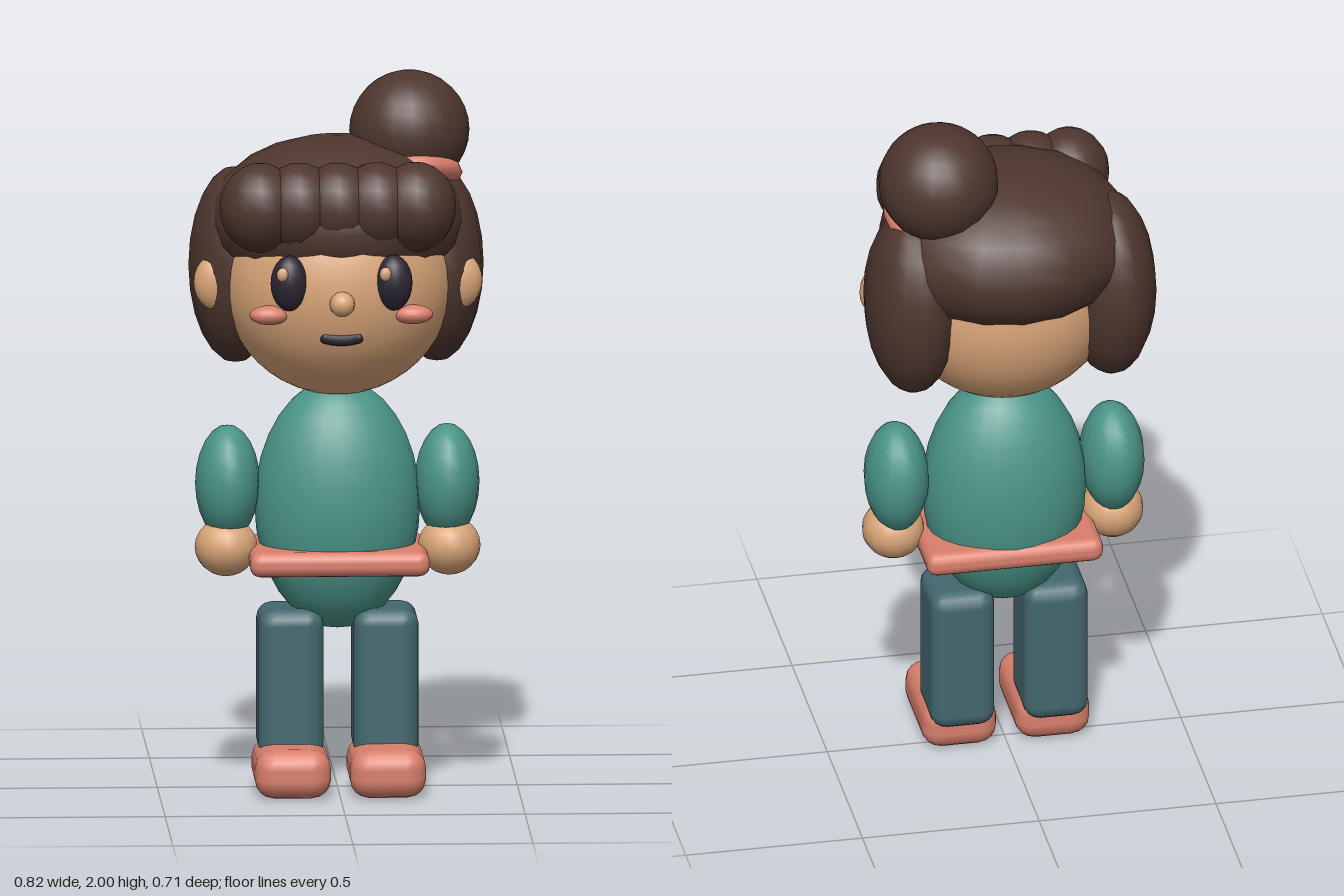
import * as THREE from 'three';
import { RoundedBoxGeometry } from 'three/addons/geometries/RoundedBoxGeometry.js';

function material(name, color) {
  const m = new THREE.MeshStandardMaterial({ color });
  m.name = name;
  return m;
}

export function createModel() {
  const model = new THREE.Group();
  model.name = 'figure';

  const hair = material('dark brown', 0x4e362e);
  const skin = material('skin', 0xd9a578);
  const teal = material('teal', 0x4a9488);
  const denim = material('slate blue', 0x43686f);
  const coral = material('coral', 0xd97f6c);
  const dark = material('eye dark', 0x2b2531);

  function add(name, geometry, mat, pos) {
    const mesh = new THREE.Mesh(geometry, mat);
    mesh.name = name;
    mesh.position.set(...pos);
    model.add(mesh);
    return mesh;
  }
  // Ellipsoid with the given centre and radii
  function ball(name, mat, pos, radii, w = 16, h = 12) {
    const geometry = new THREE.SphereGeometry(1, w, h);
    geometry.scale(...radii);
    return add(name, geometry, mat, pos);
  }
  function block(name, mat, pos, size, radius) {
    return add(name, new RoundedBoxGeometry(...size, 2, radius), mat, pos);
  }

  // Torso and belt
  ball('torso', teal, [0, 0.8, 0], [0.23, 0.35, 0.18], 24, 16);
  block('belt', coral, [0, 0.655, 0.01], [0.5, 0.07, 0.38], 0.03);

  // Head, cap of hair and bun
  ball('head', skin, [0, 1.43, 0.01], [0.32, 0.32, 0.3], 32, 24);
  ball('hairCap', hair, [0, 1.6, -0.025], [0.36, 0.23, 0.33]);
  ball('bun', hair, [0.204, 1.834, -0.092], [0.167, 0.166, 0.167], 20, 16);
  const tie = new THREE.TorusGeometry(0.11, 0.03, 8, 20);
  tie.rotateX(Math.PI / 2 - 0.35);
  add('bunTie', tie, coral, [0.21, 1.72, -0.05]);

  // Fringe
  for (let i = -2; i <= 2; i++) {
    ball('fringe', hair, [i * 0.108 - 0.007, 1.664, 0.198], [0.113, 0.125, 0.113]);
  }

  // Nose and mouth
  ball('nose', skin, [0, 1.41, 0.317], [0.035, 0.035, 0.035]);
  const smile = new THREE.QuadraticBezierCurve3(
    new THREE.Vector3(-0.045, 0.004, -0.006),
    new THREE.Vector3(0, -0.006, 0.008),
    new THREE.Vector3(0.045, 0.004, -0.006)
  );
  add('mouth', new THREE.TubeGeometry(smile, 8, 0.016, 8), dark, [0, 1.305, 0.284]);
  for (const s of [-1, 1]) {
    ball('mouthCorner', dark, [s * 0.045, 1.309, 0.278], [0.016, 0.016, 0.016], 8, 6);
  }

  // Paired parts
  for (const s of [-1, 1]) {
    const side = s > 0 ? 'left' : 'right';
    ball(side + 'SideHair', hair, [s * 0.28, 1.46, -0.083], [0.13, 0.275, 0.194]);
    ball(side + 'Ear', skin, [s * 0.335, 1.43, 0.04], [0.066, 0.08, 0.045]);
    ball(side + 'Eye', dark, [s * 0.145, 1.463, 0.272], [0.052, 0.078, 0.045]);
    ball(side + 'EyeGlint', skin, [s * 0.143 - 0.022, 1.492, 0.306], [0.017, 0.02, 0.014], 10, 8);
    ball(side + 'Cheek', coral, [s * 0.2, 1.37, 0.25], [0.055, 0.027, 0.035]);
    ball(side + 'Sleeve', teal, [s * 0.305, 0.86, 0], [0.09, 0.162, 0.12]);
    ball(side + 'Hand', skin, [s * 0.31, 0.683, 0.02], [0.087, 0.082, 0.09]);
    block(side + 'Leg', denim, [s * 0.132, 0.302, 0.002], [0.182, 0.425, 0.225], 0.045);
    block(side + 'Shoe', coral, [s * 0.132, 0.072, 0.095], [0.212, 0.137, 0.33], 0.055);
  }

  // Stand the figure on the ground
  const box = new THREE.Box3().setFromObject(model);
  for (const part of model.children) part.position.y -= box.min.y;
  return model;
}
